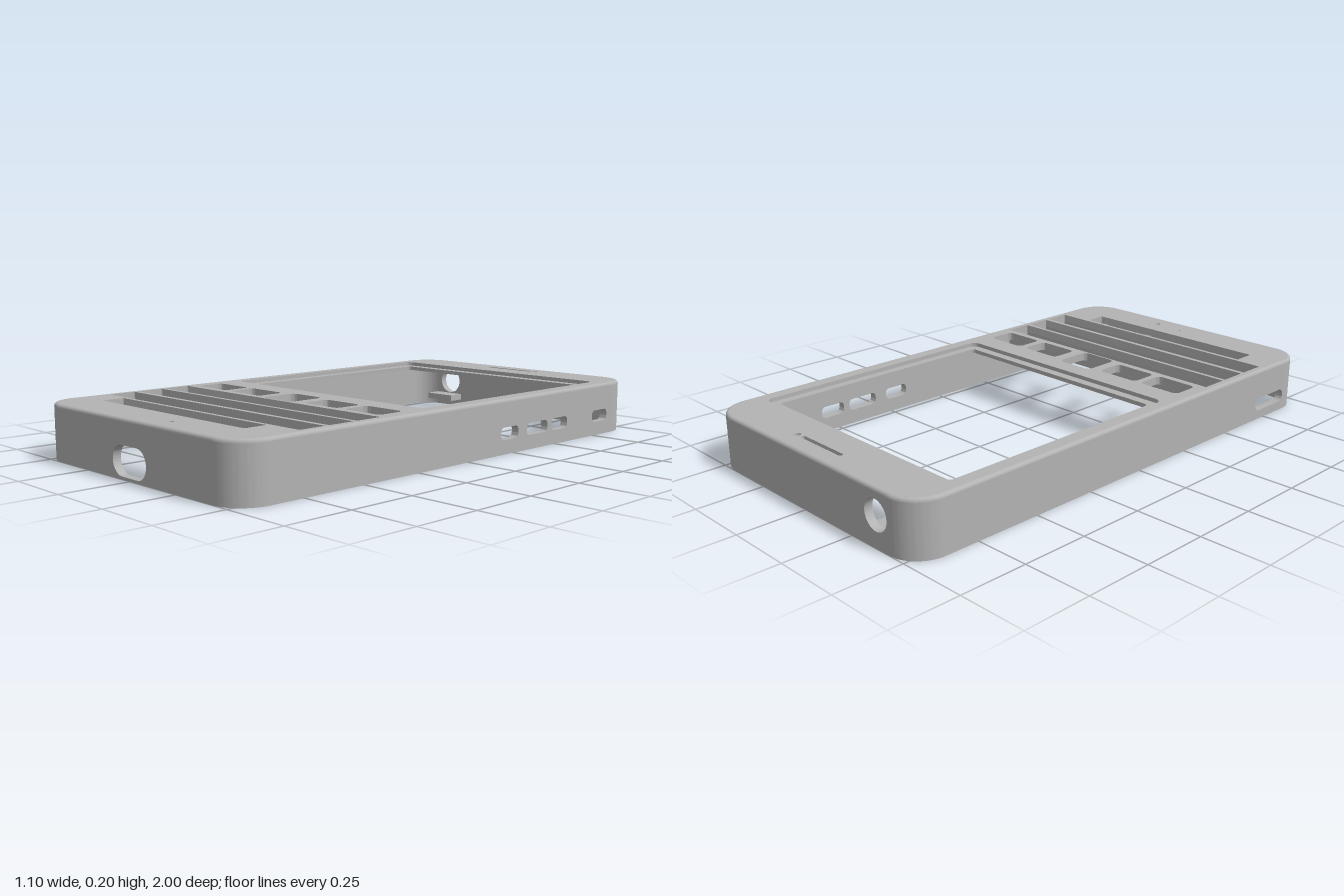
import * as THREE from 'three';
import { toCreasedNormals } from 'three/addons/utils/BufferGeometryUtils.js';

const W = 0.55, L = 1, H = 0.2;          // half width, half length, height
const R = 0.12, T = 0.03, F = 0.012;     // corner radius, wall, top edge fillet

// Rounded rectangle from its limits
function roundRect(x0, x1, y0, y1, r, Type = THREE.Path) {
  const p = new Type();
  p.moveTo(x1, y0 + r);
  p.absarc(x1 - r, y1 - r, r, 0, Math.PI / 2);
  p.absarc(x0 + r, y1 - r, r, Math.PI / 2, Math.PI);
  p.absarc(x0 + r, y0 + r, r, Math.PI, Math.PI * 1.5);
  p.absarc(x1 - r, y0 + r, r, Math.PI * 1.5, Math.PI * 2);
  p.closePath();
  return p;
}
function circle(x, y, r) {
  const p = new THREE.Path();
  p.absarc(x, y, r, 0, Math.PI * 2);
  return p;
}
function extrude(shape, depth) {
  return toCreasedNormals(
    new THREE.ExtrudeGeometry(shape, { depth, bevelEnabled: false, curveSegments: 12 }), 0.6);
}
// Horizontal slab: shape drawn in x and z, hanging down from yTop
function slab(shape, yTop, depth) {
  return extrude(shape, depth).rotateX(Math.PI / 2).translate(0, yTop, 0);
}

// Rounded top edge, lofted around the outline
function filletGeometry() {
  const pos = [], idx = [], steps = 5, seg = 12, n = 4 * (seg + 1);
  for (let j = 0; j <= steps; j++) {
    const a = (j / steps) * Math.PI / 2;
    const r = R - F * (1 - Math.cos(a)), y = H - F + F * Math.sin(a);
    for (let q = 0; q < 4; q++) {
      const cx = (q === 0 || q === 3 ? 1 : -1) * (W - R), cz = (q < 2 ? 1 : -1) * (L - R);
      for (let k = 0; k <= seg; k++) {
        const t = (q + k / seg) * Math.PI / 2;
        pos.push(cx + r * Math.cos(t), y, cz + r * Math.sin(t));
      }
    }
  }
  for (let j = 0; j < steps; j++) for (let i = 0; i < n; i++) {
    const a = j * n + i, b = j * n + (i + 1) % n;
    idx.push(a, a + n, b, b, a + n, b + n);
  }
  const g = new THREE.BufferGeometry();
  g.setAttribute('position', new THREE.Float32BufferAttribute(pos, 3));
  g.setIndex(idx);
  g.computeVertexNormals();
  return g;
}

export function createModel() {
  const model = new THREE.Group();
  const grey = new THREE.MeshStandardMaterial({ color: 0xb3b3b3 });
  grey.name = 'grey plastic';
  const add = (name, geometry, x = 0, y = 0, z = 0) => {
    const m = new THREE.Mesh(geometry, grey);
    m.name = name;
    m.position.set(x, y, z);
    model.add(m);
    return m;
  };
  const box = (name, x0, x1, y0, y1, z0, z1) => add(name,
    new THREE.BoxGeometry(x1 - x0, y1 - y0, z1 - z0), (x0 + x1) / 2, (y0 + y1) / 2, (z0 + z1) / 2);

  // Face plate in two layers: the upper one has the wider screen recess
  const faceHoles = () => [
    roundRect(-0.49, -0.32, 0.265, 0.375, 0.02),
    roundRect(-0.295, -0.12, 0.265, 0.375, 0.02),
    roundRect(-0.08, 0.075, 0.245, 0.395, 0.025),
    roundRect(0.12, 0.29, 0.265, 0.375, 0.02),
    roundRect(0.32, 0.49, 0.265, 0.375, 0.02),
    roundRect(-0.52, 0.52, 0.402, 0.505, 0.003),
    roundRect(-0.52, 0.52, 0.52, 0.622, 0.003),
    roundRect(-0.52, 0.52, 0.64, 0.742, 0.003),
    roundRect(-0.41, 0.385, 0.757, 0.842, 0.003),
    circle(0.135, -0.925, 0.011),
    circle(0.13, 0.925, 0.009),
  ];
  const upper = roundRect(-W + F, W - F, -L + F, L - F, R - F, THREE.Shape);
  upper.holes.push(...faceHoles(), roundRect(-0.5, 0.493, -0.822, 0.172, 0.03),
    roundRect(-0.11, 0.11, -0.932, -0.916, 0.007), circle(0, 0.91, 0.004));
  add('facePlate', slab(upper, H, 0.015));
  const lower = roundRect(-W + F, W - F, -L + F, L - F, R - F, THREE.Shape);
  lower.holes.push(...faceHoles(), roundRect(-0.465, 0.46, -0.787, 0.137, 0.015));
  add('screenLedge', slab(lower, H - 0.015, 0.015));
  add('topEdge', filletGeometry());

  // Straight walls with their port openings
  const wall = (name, half, holes, place) => {
    const s = new THREE.Shape();
    s.moveTo(-half, 0); s.lineTo(half, 0); s.lineTo(half, H - F); s.lineTo(-half, H - F);
    s.closePath();
    s.holes.push(...holes);
    add(name, place(extrude(s, T)));
  };
  wall('frontWall', W - R, [roundRect(-0.095, 0.095, 0.01, 0.113, 0.051)],
    g => g.translate(0, 0, L - T));
  wall('backWall', W - R, [circle(-0.375, 0.112, 0.054)], g => g.translate(0, 0, -L));
  const sideHoles = [[0.175, 0.275], [0.325, 0.45], [0.475, 0.575], [0.74, 0.84]]
    .map(([a, b]) => roundRect(a, b, 0.053, 0.098, 0.018));
  wall('rightWall', L - R, sideHoles, g => g.rotateY(Math.PI / 2).translate(W - T, 0, 0));
  wall('leftWall', L - R, [roundRect(-0.875, -0.69, 0.035, 0.085, 0.024)],
    g => g.rotateY(Math.PI / 2).translate(-W, 0, 0));

  // Rounded corners of the wall
  for (let q = 0; q < 4; q++) {
    const cx = (q === 0 || q === 3 ? 1 : -1) * (W - R), cz = (q < 2 ? 1 : -1) * (L - R);
    const a = q * Math.PI / 2, b = a + Math.PI / 2, s = new THREE.Shape();
    s.absarc(cx, cz, R, a, b, false);
    s.absarc(cx, cz, R - T, b, a, true);
    s.closePath();
    add('cornerWall', slab(s, H - F, H - F));
  }

  // Deep ribs between the key rows, with support pins at both ends
  for (const [z0, z1] of [[0.505, 0.52], [0.622, 0.64], [0.742, 0.757]]) {
    box('keyRib', -0.53, 0.53, 0.12, 0.172, z0, z1);
    for (const x of [-0.47, 0.47])
      add('keyPin', new THREE.CylinderGeometry(0.008, 0.008, 0.06, 12), x, 0.1, (z0 + z1) / 2);
  }
  box('buttonRib', -0.53, 0.53, 0.14, 0.172, 0.396, 0.402);

  // Hollow screw posts under the face
  for (const [x, z] of [[-0.43, 0.9], [0.43, 0.9], [-0.45, 0.79], [0.17, 0.89]]) {
    const s = new THREE.Shape();
    s.absarc(x, z, 0.025, 0, Math.PI * 2);
    s.holes.push(circle(x, z, 0.013));
    add('screwPost', slab(s, 0.172, 0.112));
  }

  // Socket cradle and catches inside the back wall
  box('socketCradle', -0.45, -0.31, 0.03, 0.055, -0.975, -0.9);
  for (const x of [-0.17, 0.17]) box('catch', x - 0.06, x + 0.06, 0.01, 0.025, -0.975, -0.955);

  return model;
}
